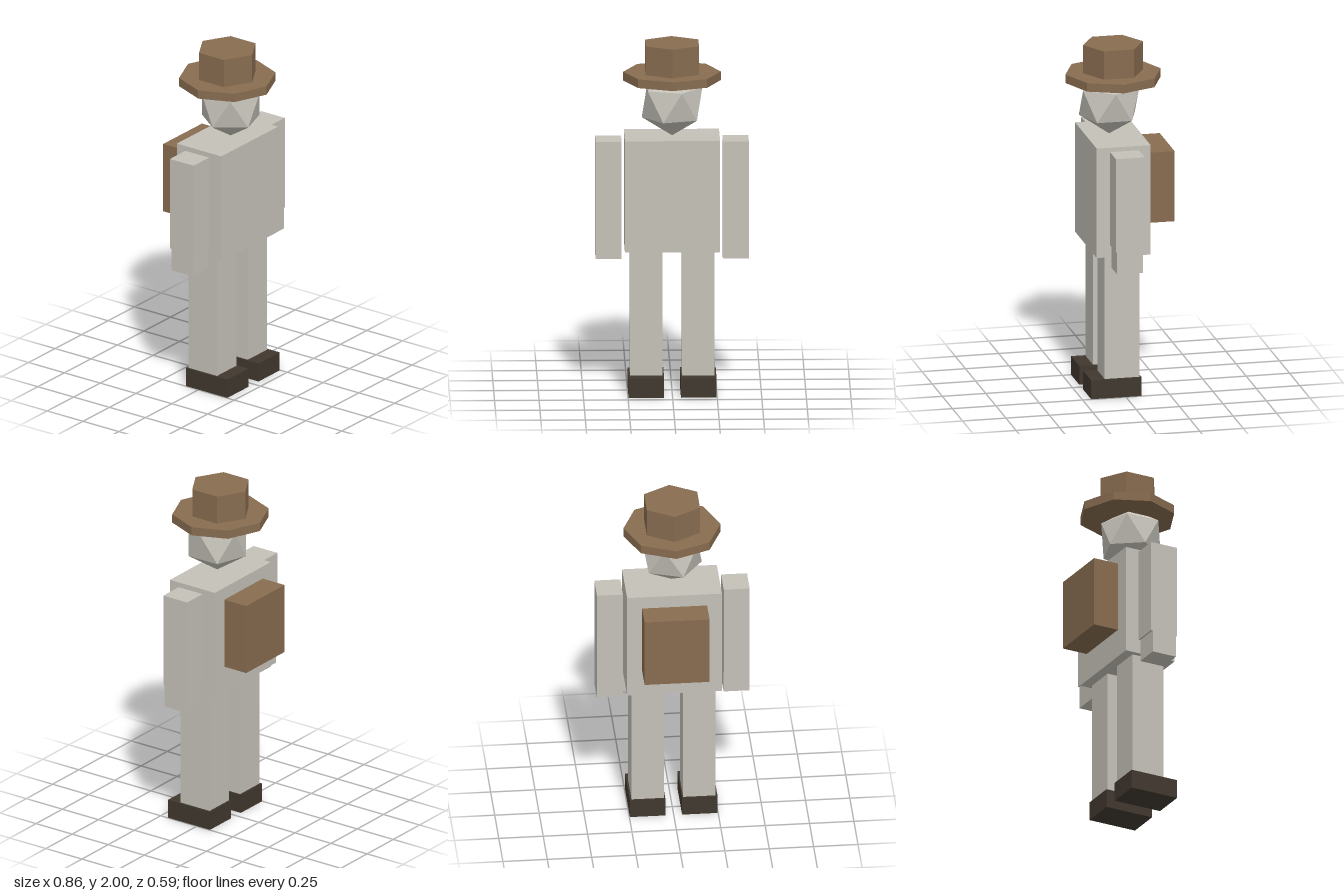
import * as THREE from 'three';

export function createModel() {
  const group = new THREE.Group();
  const material = (name, color) => {
    const m = new THREE.MeshStandardMaterial({ color });
    m.name = name;
    return m;
  };
  const cloth = material('pale grey', 0xc4c1b8);
  const leather = material('brown', 0x886c50);
  const boot = material('dark brown', 0x41382f);

  const add = (name, geometry, mat, x, y, z) => {
    const mesh = new THREE.Mesh(geometry, mat);
    mesh.name = name;
    mesh.position.set(x, y, z);
    group.add(mesh);
    return mesh;
  };
  // Box given by its minimum and maximum on each axis
  const box = (name, mat, [x0, x1], [y0, y1], [z0, z1]) =>
    add(name, new THREE.BoxGeometry(x1 - x0, y1 - y0, z1 - z0), mat,
      (x0 + x1) / 2, (y0 + y1) / 2, (z0 + z1) / 2);

  // Body and backpack
  box('torso', cloth, [-0.267, 0.267], [0.83, 1.47], [-0.138, 0.173]);
  box('backpack', leather, [-0.183, 0.183], [0.99, 1.4], [-0.295, -0.143]);

  // Limbs, mirrored
  for (const [side, s] of [['left', 1], ['right', -1]]) {
    const span = (a, b) => (s > 0 ? [a, b] : [-b, -a]);
    box(side + 'Arm', cloth, span(0.284, 0.43), [0.905, 1.45], [-0.065, 0.1]);
    box(side + 'Hand', cloth, span(0.284, 0.43), [0.775, 0.905], [-0.055, 0.093]);
    box(side + 'Leg', cloth, span(0.054, 0.237), [0.11, 0.83], [-0.08, 0.12]);
    box(side + 'Boot', boot, span(0.047, 0.247), [0, 0.11], [-0.09, 0.2]);
  }

  // Faceted head, standing on one corner
  const head = new THREE.IcosahedronGeometry(0.19, 0);
  head.rotateZ(-Math.atan(2 / (1 + Math.sqrt(5))));
  add('head', head, cloth, 0, 1.664, 0.04);

  // Hat: eight-sided brim, six-sided crown
  const prism = (radius, height, sides) => {
    const g = new THREE.CylinderGeometry(radius, radius, height, sides).toNonIndexed();
    g.computeVertexNormals();
    return g;
  };
  add('hatBrim', prism(0.274, 0.05, 8), leather, 0, 1.81, 0.017);
  add('hatCrown', prism(0.173, 0.165, 6), leather, 0, 1.9175, 0.017);

  return group;
}
